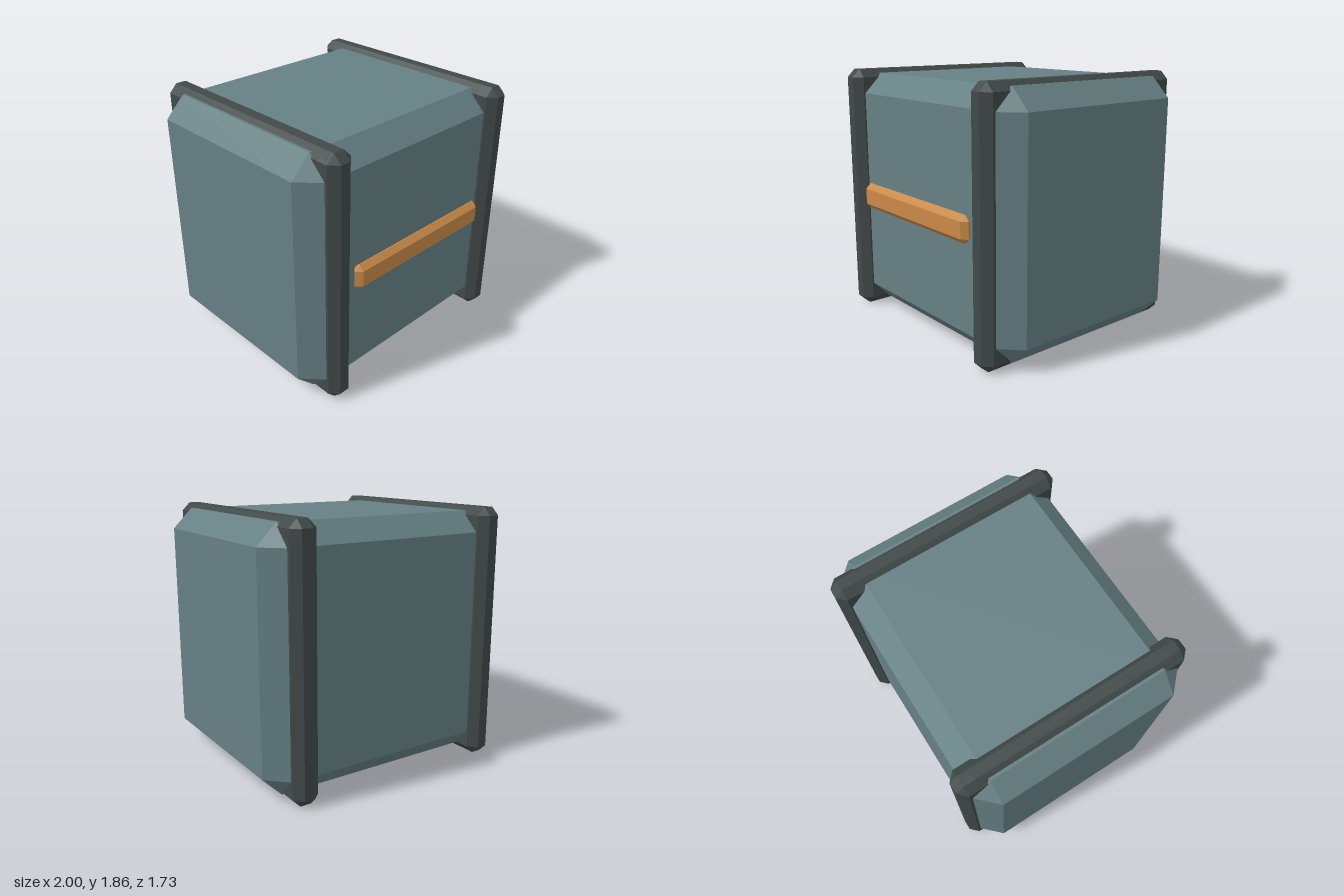
import * as THREE from 'three';
import { ConvexGeometry } from 'three/addons/geometries/ConvexGeometry.js';

// Box with flat bevels on all edges and triangular corners
function bevelBox(w, h, d, bevel) {
  const points = [];
  for (const sx of [-1, 1]) for (const sy of [-1, 1]) for (const sz of [-1, 1]) {
    for (let axis = 0; axis < 3; axis++) {
      const inset = [0, 1, 2].map((i) => (i === axis ? 0 : bevel));
      points.push(new THREE.Vector3(
        sx * (w / 2 - inset[0]), sy * (h / 2 - inset[1]), sz * (d / 2 - inset[2])));
    }
  }
  return new ConvexGeometry(points);
}

export function createModel() {
  const model = new THREE.Group();
  model.name = 'crate';

  const material = (color) => new THREE.MeshStandardMaterial({ color, flatShading: true });
  const bodyMat = material(0x668084);
  const frameMat = material(0x414a49);
  const stripMat = material(0xc98a48);

  const add = (name, geometry, mat, x, y, z, parent = model) => {
    const mesh = new THREE.Mesh(geometry, mat);
    mesh.name = name;
    mesh.position.set(x, y, z);
    parent.add(mesh);
  };

  const HEIGHT = 1.857, DEPTH = 1.732, BAR = 0.193, BEVEL = 0.058, ZC = -0.008;

  // Main body
  add('body', bevelBox(2, 1.793, 1.594, 0.144), bodyMat, 0, 0.93, ZC);

  // Two frame hoops: upright posts joined by top and bottom rails
  const post = bevelBox(BAR, HEIGHT, BAR, BEVEL);
  const rail = bevelBox(BAR, BAR, DEPTH, BEVEL);
  for (const side of [1, -1]) {
    const hoop = new THREE.Group();
    hoop.name = side > 0 ? 'leftFrame' : 'rightFrame';
    hoop.position.x = side * 0.767;
    model.add(hoop);
    for (const end of [1, -1]) {
      add(end > 0 ? 'frontPost' : 'backPost', post, frameMat,
        0, HEIGHT / 2, ZC + end * (DEPTH - BAR) / 2, hoop);
      add(end > 0 ? 'topRail' : 'bottomRail', rail, frameMat,
        0, HEIGHT / 2 + end * (HEIGHT - BAR) / 2, ZC, hoop);
    }
  }

  // Accent strip across the front
  add('frontStrip', bevelBox(1.276, 0.192, 0.082, 0.038), stripMat, 0, 0.914, 0.816);

  return model;
}
